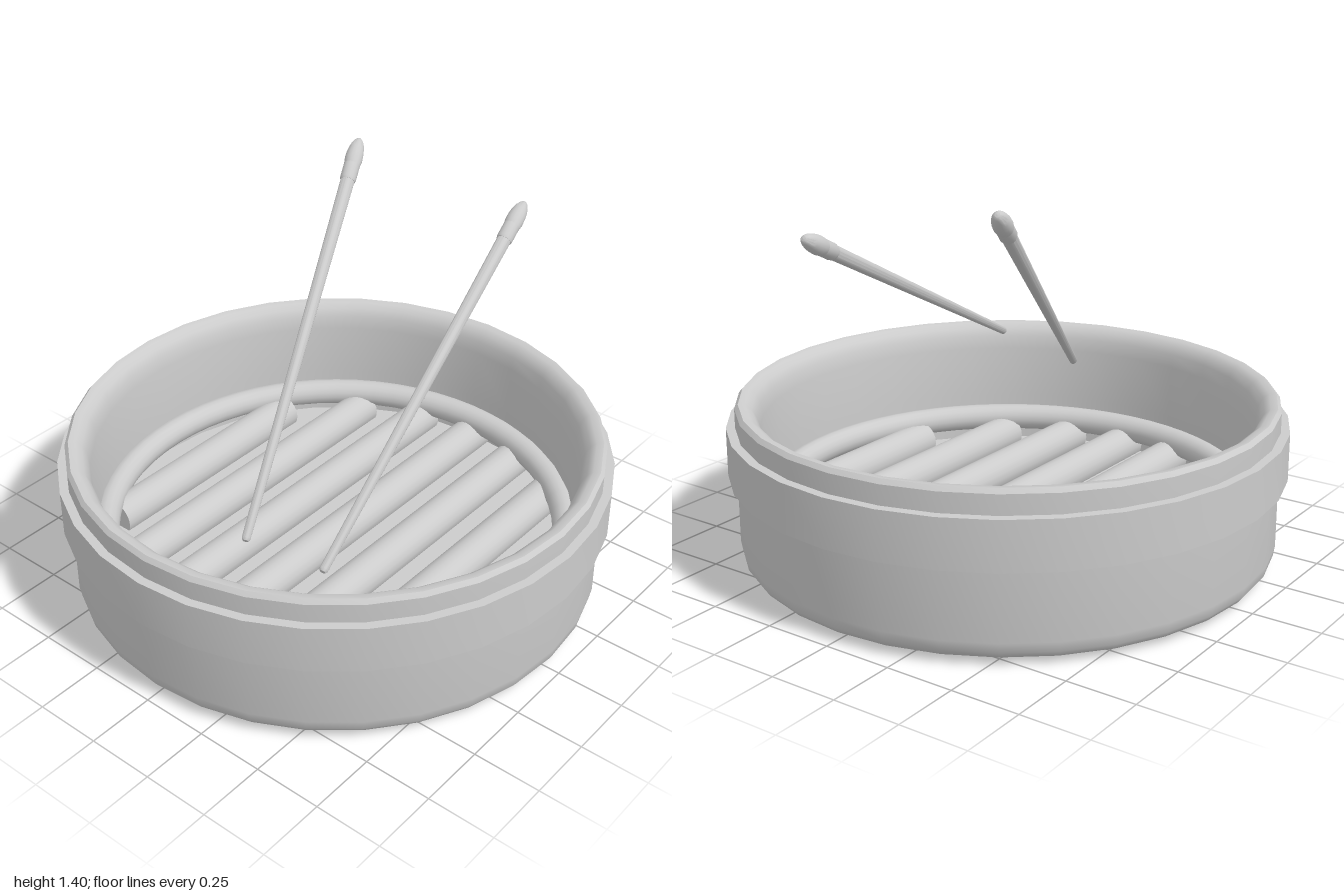
import * as THREE from 'three';
import { toCreasedNormals } from 'three/addons/utils/BufferGeometryUtils.js';

const material = new THREE.MeshStandardMaterial({ color: 0xcccccc });

function add(parent, name, geometry) {
  const mesh = new THREE.Mesh(geometry, material);
  mesh.name = name;
  parent.add(mesh);
  return mesh;
}

// Turned shape from [radius, height] pairs, listed from the bottom outward and up
function turned(profile, sides) {
  const points = profile.map(([r, y]) => new THREE.Vector2(r, y));
  return toCreasedNormals(new THREE.LatheGeometry(points, sides), 0.7);
}

// Tapered stick with a collar and a rounded head, laid from its thin end to its head
function addChopstick(parent, name, from, to) {
  const stick = new THREE.Group();
  stick.name = name;
  const dir = to.clone().sub(from);
  const length = dir.length();
  stick.position.copy(from);
  stick.quaternion.setFromUnitVectors(new THREE.Vector3(0, 1, 0), dir.normalize());
  parent.add(stick);

  const neck = length - 0.19, head = length - 0.115;
  add(stick, 'shaft', turned([[0, 0], [0.01, 0.003], [0.015, 0.012], [0.026, neck]], 16));
  add(stick, 'collar', turned([[0, neck], [0.027, neck], [0.03, neck + 0.01], [0.03, head], [0, head]], 16));
  const cap = [[0, head - 0.005], [0.03, head - 0.005], [0.033, head + 0.02]];
  for (let i = 1; i <= 6; i++) {
    const a = (i / 6) * Math.PI / 2;
    cap.push([0.033 * Math.cos(a), head + 0.02 + 0.095 * Math.sin(a)]);
  }
  add(stick, 'head', turned(cap, 16));
}

export function createModel() {
  const model = new THREE.Group();
  model.name = 'steamerBasket';

  // Basket wall with rounded foot, rounded inner lip and floor
  add(model, 'basketBody', turned([
    [0, 0.005], [0.86, 0.01], [0.91, 0.018], [0.945, 0.032], [0.962, 0.055], [0.968, 0.09],
    [0.968, 0.585], [0.955, 0.6], [0.93, 0.597], [0.908, 0.58], [0.892, 0.55], [0.885, 0.5],
    [0.875, 0.3], [0.875, 0.12], [0, 0.12],
  ], 32));

  // Hoop around the wall
  add(model, 'hoop', turned([[0.95, 0.34], [1, 0.34], [1, 0.515], [0.95, 0.515]], 32));

  // Ring holding the slats
  const ring = add(model, 'innerRing', new THREE.TorusGeometry(0.85, 0.05, 16, 64));
  ring.rotation.x = Math.PI / 2;
  ring.position.y = 0.215;

  // Rounded slats running from side to side
  for (let i = 0; i < 7; i++) {
    const z = -0.675 + i * 0.2325;
    const half = Math.sqrt(0.87 ** 2 - (Math.abs(z) + 0.05) ** 2);
    const slat = add(model, 'slat', new THREE.CylinderGeometry(0.07, 0.07, half * 2, 20));
    slat.rotation.z = Math.PI / 2;
    slat.position.set(0, 0.15, z);
  }

  // Pair of chopsticks
  addChopstick(model, 'backChopstick', new THREE.Vector3(-0.635, 0.53, 0.135), new THREE.Vector3(0.63, 1.393, -0.408));
  addChopstick(model, 'frontChopstick', new THREE.Vector3(-0.655, 0.592, 0.485), new THREE.Vector3(0.793, 1.268, 0.228));

  return model;
}
